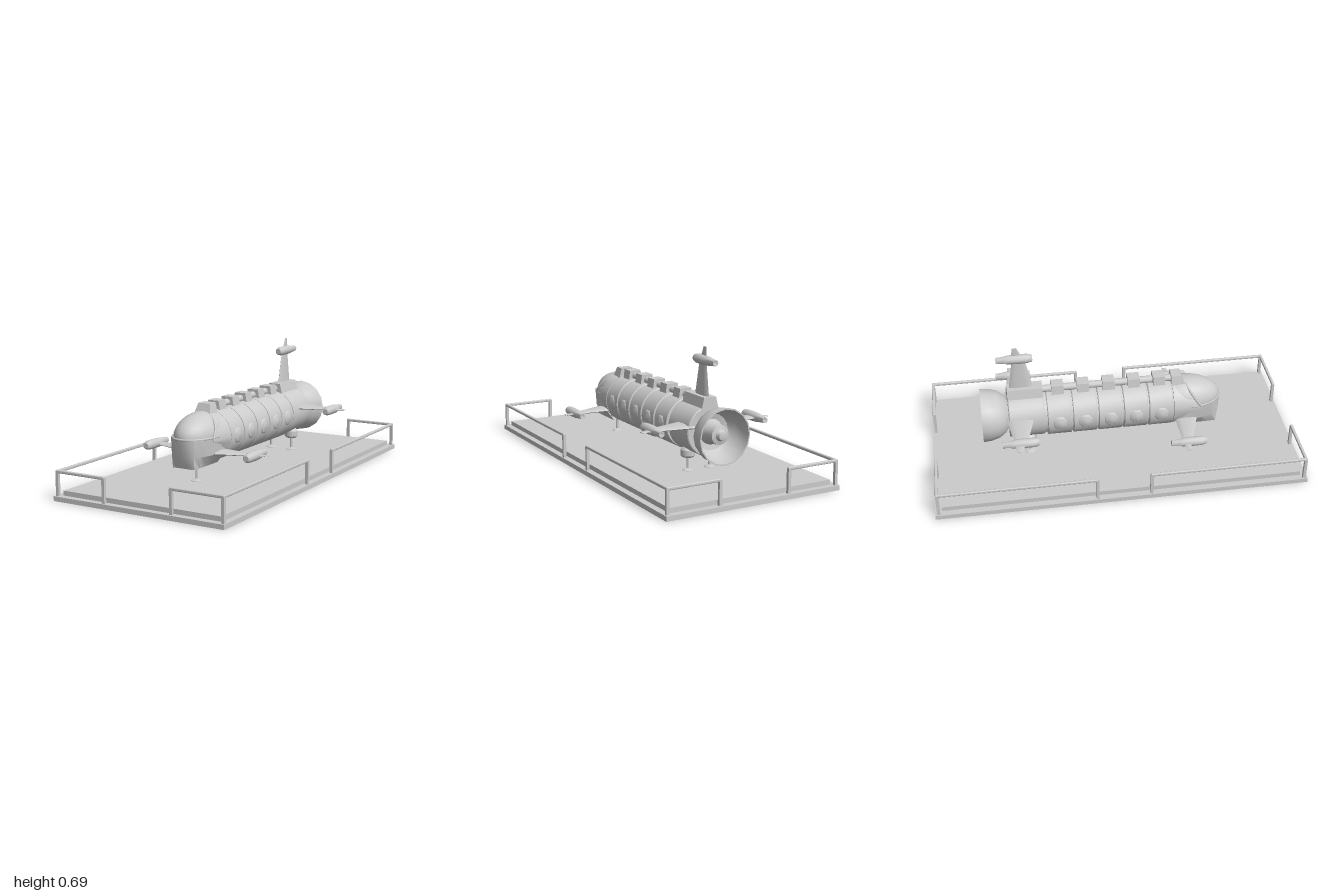
import * as THREE from 'three';
import { RoundedBoxGeometry } from 'three/addons/geometries/RoundedBoxGeometry.js';
import { toCreasedNormals } from 'three/addons/utils/BufferGeometryUtils.js';

const mat = new THREE.MeshStandardMaterial({ color: 0xcccccc });
const openMat = new THREE.MeshStandardMaterial({ color: 0xcccccc, side: THREE.DoubleSide });
const AXIS = 0.27; // height of the hull's centre line

function add(parent, name, geo, x = 0, y = 0, z = 0, m = mat) {
  const mesh = new THREE.Mesh(geo, m);
  mesh.name = name;
  mesh.position.set(x, y, z);
  parent.add(mesh);
  return mesh;
}

// Lathe of [radius, height] points; alongZ turns its axis from y to z
function lathe(points, sides, alongZ = false) {
  const g = new THREE.LatheGeometry(points.map(p => new THREE.Vector2(...p)), sides);
  if (alongZ) g.rotateX(Math.PI / 2);
  return toCreasedNormals(g, 0.6);
}

// Move every vertex by a rule
function warp(geo, rule) {
  const p = geo.attributes.position, v = new THREE.Vector3();
  for (let i = 0; i < p.count; i++) {
    rule(v.fromBufferAttribute(p, i));
    p.setXYZ(i, v.x, v.y, v.z);
  }
  return toCreasedNormals(geo, 0.6);
}

// Block with a narrower top, standing on y = 0
function taperedBlock(wBottom, wTop, h, d) {
  return warp(new THREE.BoxGeometry(1, h, d).translate(0, h / 2, 0), v => {
    v.x *= v.y > h / 2 ? wTop : wBottom;
  });
}

// Flat oval blade rising from y0 to y1; chords are [zBack, zFront]
function blade(y0, y1, chord0, chord1, thick0, thick1) {
  return warp(new THREE.CylinderGeometry(1, 1, 1, 12, 1), v => {
    const t = v.y + 0.5, mix = THREE.MathUtils.lerp;
    const back = mix(chord0[0], chord1[0], t), front = mix(chord0[1], chord1[1], t);
    v.set(v.x * mix(thick0, thick1, t), mix(y0, y1, t), (back + front) / 2 + v.z * (front - back) / 2);
  });
}

// Stabiliser: blade, thruster pod and outer tip
function fin(parent, name, rootChord, tipChord, podZ) {
  const g = new THREE.Group();
  g.name = name;
  add(g, 'finBlade', blade(0.08, 0.29, rootChord, tipChord, 0.015, 0.005));
  add(g, 'finTip', blade(0.32, 0.375, [tipChord[0], tipChord[1] - 0.015],
    [tipChord[0] + 0.005, tipChord[0] + 0.03], 0.003, 0.002));
  add(g, 'thrusterPod', lathe([[0, -0.09], [0.012, -0.097], [0.016, -0.097], [0.019, -0.06], [0.024, -0.03],
    [0.026, 0.02], [0.025, 0.07], [0.02, 0.092], [0.015, 0.097], [0, 0.097]], 12, true), 0, 0.305, podZ);
  parent.add(g);
  return g;
}

// Lower nose: half outlines from the front centre backwards, mirrored and stacked
function chinGeometry() {
  const levels = [
    [0.292, [[0, 0.605], [0.04, 0.597], [0.067, 0.582], [0.092, 0.552], [0.112, 0.5], [0.121, 0.42], [0.121, 0.36]]],
    [0.2, [[0, 0.593], [0.04, 0.592], [0.066, 0.583], [0.087, 0.548], [0.105, 0.49], [0.115, 0.42], [0.115, 0.36]]],
    [0.138, [[0, 0.578], [0.04, 0.578], [0.065, 0.577], [0.066, 0.53], [0.067, 0.48], [0.068, 0.42], [0.068, 0.36]]]];
  const n = 13, pos = [], idx = [];
  for (const [y, half] of levels) {
    const right = half.slice(1).map(([x, z]) => [-x, z]);
    for (const [x, z] of [...half.slice().reverse(), ...right]) pos.push(x, y, z);
  }
  for (let l = 0; l < 2; l++) for (let i = 0; i < n - 1; i++) {
    const a = l * n + i;
    idx.push(a, a + 1, a + n, a + 1, a + 1 + n, a + n);
  }
  pos.push(0, 0.138, 0.4);
  for (let i = 0; i < n - 1; i++) idx.push(3 * n, 2 * n + i, 2 * n + i + 1);
  const g = new THREE.BufferGeometry();
  g.setAttribute('position', new THREE.Float32BufferAttribute(pos, 3));
  g.setIndex(idx);
  return toCreasedNormals(g, 0.45);
}

function tube(points, r) {
  return new THREE.TubeGeometry(new THREE.CatmullRomCurve3(points), 32, r, 6);
}

// Landing leg with bulb, strut and foot
function leg(parent, x, z, bulb) {
  const g = new THREE.Group();
  g.name = 'landingLeg';
  g.position.set(x, 0, z);
  add(g, 'legBulb', lathe(bulb, 16));
  add(g, 'legStrut', new THREE.CylinderGeometry(0.007, 0.007, 0.09, 10), 0, 0.095, 0);
  add(g, 'legFoot', lathe([[0, 0.037], [0.03, 0.037], [0.03, 0.052], [0.008, 0.062], [0, 0.062]], 16));
  parent.add(g);
}

// Rectangular frame of four bars between heights y0 and y1
function frame(parent, name, w, d, t, y0, y1) {
  const h = y1 - y0, y = (y0 + y1) / 2;
  for (const s of [-1, 1]) {
    add(parent, name, new THREE.BoxGeometry(t, h, d), s * (w - t) / 2, y, 0);
    add(parent, name, new THREE.BoxGeometry(w - 2 * t, h, t), 0, y, s * (d - t) / 2);
  }
}

function platform(parent) {
  const g = new THREE.Group();
  g.name = 'platform';
  parent.add(g);
  frame(g, 'baseFrame', 0.994, 2, 0.035, 0, 0.025);
  frame(g, 'deckSkirt', 0.924, 1.93, 0.006, 0.02, 0.04);
  add(g, 'deck', new THREE.BoxGeometry(0.924, 0.012, 1.93), 0, 0.044, 0);
  // Four corner railings
  const t = 0.016, top = 0.15, cx = 0.482, cz = 0.982;
  for (const sx of [-1, 1]) for (const sz of [-1, 1]) {
    const r = new THREE.Group();
    r.name = 'cornerRailing';
    for (const [x, z] of [[cx, cz], [0.197, cz], [cx, 0.145]])
      add(r, 'railPost', new THREE.BoxGeometry(t, top - 0.02, t), sx * x, (top + 0.02) / 2, sz * z);
    add(r, 'endRail', new RoundedBoxGeometry(cx - 0.197 + t, t, t, 2, 0.005), sx * (cx + 0.197) / 2, top, sz * cz);
    add(r, 'sideRail', new RoundedBoxGeometry(t, t, cz - 0.145 + t, 2, 0.005), sx * cx, top, sz * (cz + 0.145) / 2);
    g.add(r);
  }
}

export function createModel() {
  const model = new THREE.Group();
  model.name = 'submarineOnPlatform';
  platform(model);
  const sub = new THREE.Group();
  sub.name = 'submarine';
  model.add(sub);

  // Inner hull shows in the gaps between the ring segments
  add(sub, 'innerHull', new THREE.CylinderGeometry(0.122, 0.122, 0.9, 32).rotateX(Math.PI / 2), 0, AXIS, -0.1);
  const ring = (len, r) => lathe([[0, -len / 2], [r - 0.004, -len / 2], [r, -len / 2 + 0.004],
    [r, len / 2 - 0.004], [r - 0.004, len / 2], [0, len / 2]], 32, true);
  const porthole = lathe([[0.043, -0.03], [0.043, 0.002], [0.036, 0.009], [0.028, 0.011], [0.018, 0.015], [0, 0.017]], 8)
    .rotateY(Math.PI / 8);
  for (let i = 0; i < 5; i++) {
    const z = 0.257 - i * 0.139;
    add(sub, 'hullSegment', ring(0.131, 0.135), 0, AXIS, z);
    add(sub, 'spineClamp', taperedBlock(0.085, 0.066, 0.06, 0.066), 0, 0.387, z);
    for (const s of [-1, 1]) add(sub, 'porthole', porthole, s * 0.128, AXIS, z).rotation.z = -s * Math.PI / 2;
  }
  add(sub, 'tailSection', ring(0.192, 0.131), 0, AXIS, -0.476);
  add(sub, 'spinePipe', new THREE.CylinderGeometry(0.02, 0.02, 0.8, 12).rotateX(Math.PI / 2), 0, 0.416, -0.02);
  add(sub, 'dorsalBase', taperedBlock(0.1, 0.07, 0.062, 0.192), 0, 0.383, -0.476);
  add(sub, 'spineFront', warp(taperedBlock(0.1, 0.07, 0.062, 0.08), v => {
    if (v.y > 0.03 && v.z > 0) v.z -= 0.025;
  }), 0, 0.383, 0.365);

  // Forward hull with a raked opening for the canopy
  const rake = y => 0.48 - 0.08 * Math.max(0, y - 0.29) / 0.11;
  add(sub, 'forwardHull', warp(new THREE.CylinderGeometry(0.122, 0.133, 1, 32).rotateX(Math.PI / 2), v => {
    v.y += AXIS;
    v.z = v.z > 0 ? (v.y < 0.27 ? 0.4 : rake(v.y)) : 0.328;
  }));
  add(sub, 'chin', chinGeometry(), 0, 0, 0, openMat);
  add(sub, 'canopy', new THREE.SphereGeometry(1, 28, 10, 0, Math.PI * 2, 0, Math.PI / 2)
    .scale(0.117, 0.117, 0.202), 0, 0.29, 0.4);
  const arch = [], sill = [];
  for (let i = 0; i <= 16; i++) {
    const a = (i / 16) * Math.PI, c = Math.cos(a), s = Math.sin(a);
    const y = 0.29 + 0.11 * s;
    arch.push(new THREE.Vector3(0.12 * c, y, rake(y)));
    sill.push(new THREE.Vector3(0.12 * c, 0.29, 0.42 + 0.182 * s));
  }
  add(sub, 'canopyArch', tube(arch, 0.007));
  add(sub, 'canopySill', tube(sill, 0.006));

  // Open bell at the stern with a central hub
  add(sub, 'sternBell', lathe([[0.075, 0.145], [0.105, 0.125], [0.13, 0.09], [0.143, 0.045], [0.147, 0],
    [0.14, 0], [0.135, 0.045], [0.12, 0.09], [0.095, 0.125], [0.05, 0.135]], 16, true), 0, AXIS, -0.717, openMat);
  add(sub, 'sternHub', lathe([[0, -0.085], [0.022, -0.08], [0.03, -0.06], [0.05, -0.055], [0.055, 0],
    [0.075, 0.05]], 16, true), 0, AXIS, -0.615, openMat);

  // Side and dorsal fins
  for (const s of [-1, 1]) {
    const fore = fin(sub, 'foreFin', [0.338, 0.47], [0.348, 0.4], 0.378);
    fore.position.y = 0.203;
    const aft = fin(sub, 'aftFin', [-0.59, -0.43], [-0.555, -0.485], -0.522);
    aft.position.y = 0.3;
    fore.rotation.z = aft.rotation.z = -s * Math.PI / 2;
  }
  fin(sub, 'dorsalFin', [-0.565, -0.42], [-0.535, -0.465], -0.522).position.y = 0.32;

  // One leg forward, two aft
  leg(sub, 0, 0.455, [[0, 0.122], [0.03, 0.122], [0.036, 0.13], [0.036, 0.15], [0, 0.16]]);
  for (const s of [-1, 1])
    leg(sub, s * 0.066, -0.467, [[0, 0.121], [0.03, 0.121], [0.038, 0.13], [0.038, 0.16], [0.012, 0.19], [0, 0.195]]);
  return model;
}
